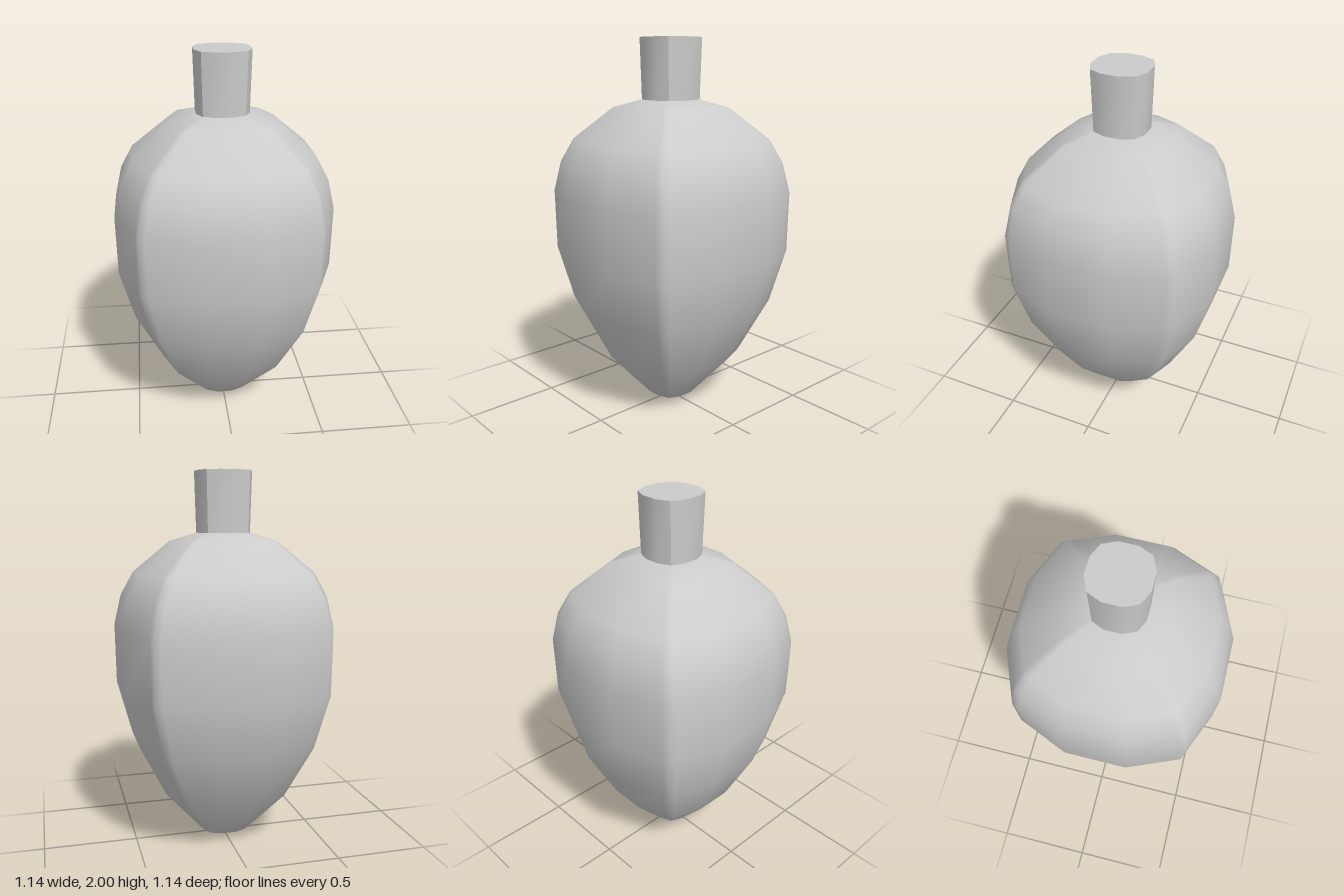
import * as THREE from 'three';
import { toCreasedNormals } from 'three/addons/utils/BufferGeometryUtils.js';

// Mirrors the outline points of one quadrant into a full loop around the y axis
function quarterLoop(points) {
  const loop = [];
  for (let q = 0; q < 4; q++) {
    const c = [1, 0, -1, 0][q], s = [0, 1, 0, -1][q];
    for (const [x, z] of points) loop.push([x * c - z * s, x * s + z * c]);
  }
  return loop;
}

// Skins scaled copies of a loop, [y, scale] per ring from bottom to top, closed at both ends
function loft(loop, rings) {
  const n = loop.length, pos = [], index = [];
  for (const [y, r] of rings) for (const [x, z] of loop) pos.push(x * r, y, z * r);
  const bottom = pos.length / 3, top = bottom + 1, last = (rings.length - 1) * n;
  pos.push(0, rings[0][0], 0, 0, rings[rings.length - 1][0], 0);
  for (let j = 0; j < n; j++) {
    const k = (j + 1) % n;
    for (let i = 0; i < last; i += n) {
      index.push(i + j, i + n + j, i + k, i + k, i + n + j, i + n + k);
    }
    index.push(bottom, j, k, top, last + k, last + j);
  }
  const geo = new THREE.BufferGeometry();
  geo.setAttribute('position', new THREE.Float32BufferAttribute(pos, 3));
  geo.setIndex(index);
  geo.computeVertexNormals();
  return geo;
}

export function createModel() {
  const group = new THREE.Group();
  const material = new THREE.MeshStandardMaterial({ color: 0xcccccc });
  const add = (name, geo) => {
    const mesh = new THREE.Mesh(geo, material);
    mesh.name = name;
    group.add(mesh);
  };

  // Bulb: rounded-square section with tight corners, tapering to the tip
  const section = quarterLoop([[1, 0.3], [0.818, 0.737], [0.793, 0.793], [0.737, 0.818], [0.3, 1]]);
  add('bulbBody', loft(section, [
    [0, 0.05], [0.035, 0.13], [0.285, 0.343], [0.58, 0.49], [0.87, 0.566],
    [1.19, 0.57], [1.35, 0.533], [1.475, 0.467], [1.64, 0.275], [1.685, 0.13],
  ]));

  // Neck: short twelve-sided stem with creased corners, slightly wider at the top
  const neckSection = quarterLoop([[1, 0.31], [0.79, 0.79], [0.31, 1]]);
  add('neck', toCreasedNormals(loft(neckSection, [[1.675, 0.136], [2, 0.145]]), Math.PI / 6));

  return group;
}
